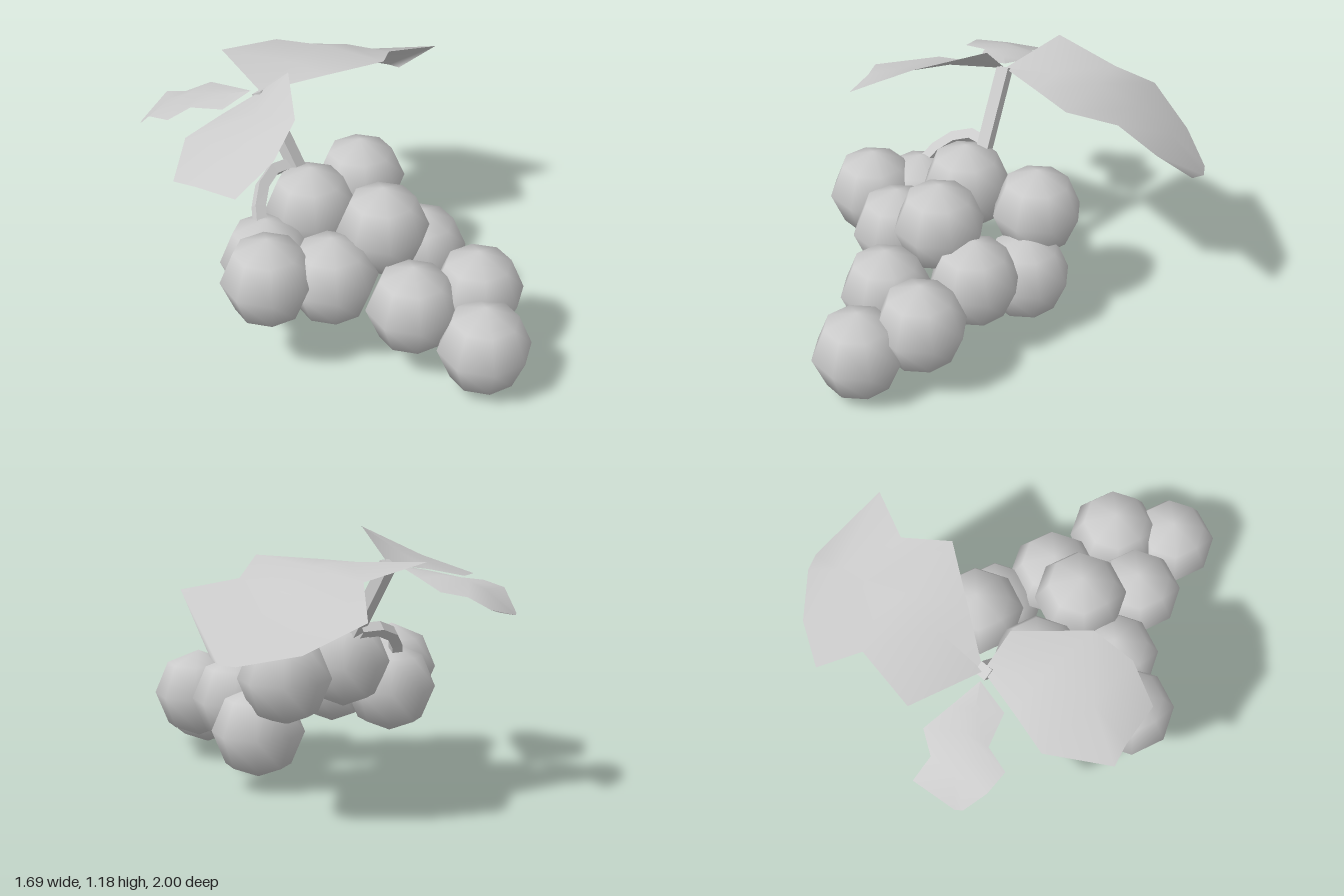
import * as THREE from 'three';

const V = (p) => new THREE.Vector3(...p);
const grey = (opts = {}) => new THREE.MeshStandardMaterial({ color: 0xcccccc, ...opts });

// Thin leaf lofted across three rails: one edge, the midrib and the other edge
function makeLeaf(name, edgeA, rib, edgeB) {
  const pos = [];
  const index = [];
  rib.forEach((p, i) => {
    pos.push(...edgeA[i], ...p, ...edgeB[i]);
    if (i === 0) return;
    for (let k = 0; k < 2; k++) {
      const a = (i - 1) * 3 + k, b = i * 3 + k;
      index.push(a, b, a + 1, b, b + 1, a + 1);
    }
  });
  const geo = new THREE.BufferGeometry();
  geo.setAttribute('position', new THREE.Float32BufferAttribute(pos, 3));
  geo.setIndex(index);
  geo.computeVertexNormals();
  const mesh = new THREE.Mesh(geo, grey({ side: THREE.DoubleSide }));
  mesh.name = name;
  return mesh;
}

// Square bar between two points
function makeBar(name, from, to, width) {
  const a = V(from), b = V(to);
  const bar = new THREE.Mesh(new THREE.BoxGeometry(width, width, a.distanceTo(b)), grey());
  bar.position.copy(a).lerp(b, 0.5);
  bar.lookAt(b);
  bar.name = name;
  return bar;
}

export function createModel() {
  const model = new THREE.Group();
  model.name = 'grapeBunch';

  // Grapes: centres of the low-poly spheres
  const grapes = new THREE.Group();
  grapes.name = 'grapes';
  const grapeGeo = new THREE.SphereGeometry(0.21, 8, 4);
  const grapeMat = grey();
  [
    [-0.21, 0.21, 0.79], [0.0, 0.31, 0.61], [-0.27, 0.31, 0.45],
    [-0.14, 0.55, 0.19], [0.07, 0.35, 0.25], [-0.41, 0.4, 0.11],
    [0.19, 0.26, -0.02], [0.17, 0.52, -0.17], [-0.2, 0.55, -0.17],
    [-0.64, 0.45, -0.06], [-0.47, 0.4, -0.21],
  ].forEach((c, i) => {
    const grape = new THREE.Mesh(grapeGeo, grapeMat);
    grape.position.set(...c);
    grape.name = `grape${i + 1}`;
    grapes.add(grape);
  });
  model.add(grapes);

  // Main stem, and the side stalk arching over to the grapes at the back
  model.add(makeBar('stem', [-0.16, 0.64, -0.24], [-0.16, 1.03, -0.48], 0.058));
  const path = new THREE.CatmullRomCurve3([
    [-0.16, 0.71, -0.31], [-0.27, 0.71, -0.34], [-0.39, 0.65, -0.31], [-0.47, 0.55, -0.24],
  ].map(V));
  const stalk = new THREE.Mesh(new THREE.TubeGeometry(path, 4, 0.035, 4), grey({ flatShading: true }));
  stalk.name = 'sideStalk';
  model.add(stalk);

  // Leaves spreading from the top of the stem
  const base = [-0.16, 1.025, -0.48];
  model.add(makeLeaf('largeLeaf',
    [base, [-0.04, 1.08, -0.81], [0.28, 1.02, -0.75], [0.42, 0.89, -0.91], [0.65, 0.77, -0.775], [0.82, 0.72, -0.575]],
    [base, [0.1, 1.06, -0.48], [0.31, 1.06, -0.48], [0.5, 0.98, -0.5], [0.66, 0.88, -0.52], [0.845, 0.72, -0.5]],
    [base, [0.08, 1.055, -0.31], [0.315, 1.08, -0.145], [0.515, 1.01, -0.26], [0.745, 0.975, -0.155], [0.82, 0.74, -0.42]]));
  model.add(makeLeaf('mediumLeaf',
    [base, [-0.37, 0.99, -0.525], [-0.565, 0.945, -0.57], [-0.825, 0.915, -0.405]],
    [base, [-0.37, 1.06, -0.33], [-0.6, 1.01, -0.28], [-0.8, 0.915, -0.3]],
    [[-0.165, 1.18, -0.31], [-0.415, 1.14, -0.07], [-0.605, 1.04, -0.035], [-0.78, 0.92, -0.1]]));
  const root = [-0.18, 1.025, -0.52];
  model.add(makeLeaf('smallLeaf',
    [root, [-0.34, 0.99, -0.55], [-0.385, 0.97, -0.7], [-0.505, 0.95, -0.73], [-0.505, 0.93, -0.845], [-0.46, 0.835, -0.95]],
    [root, [-0.24, 1.0, -0.62], [-0.27, 0.99, -0.72], [-0.32, 0.97, -0.8], [-0.35, 0.94, -0.87], [-0.43, 0.83, -0.97]],
    [root, [-0.15, 0.985, -0.67], [-0.12, 0.945, -0.815], [-0.22, 0.92, -0.88], [-0.225, 0.88, -1.0], [-0.315, 0.855, -0.97]]));

  return model;
}
